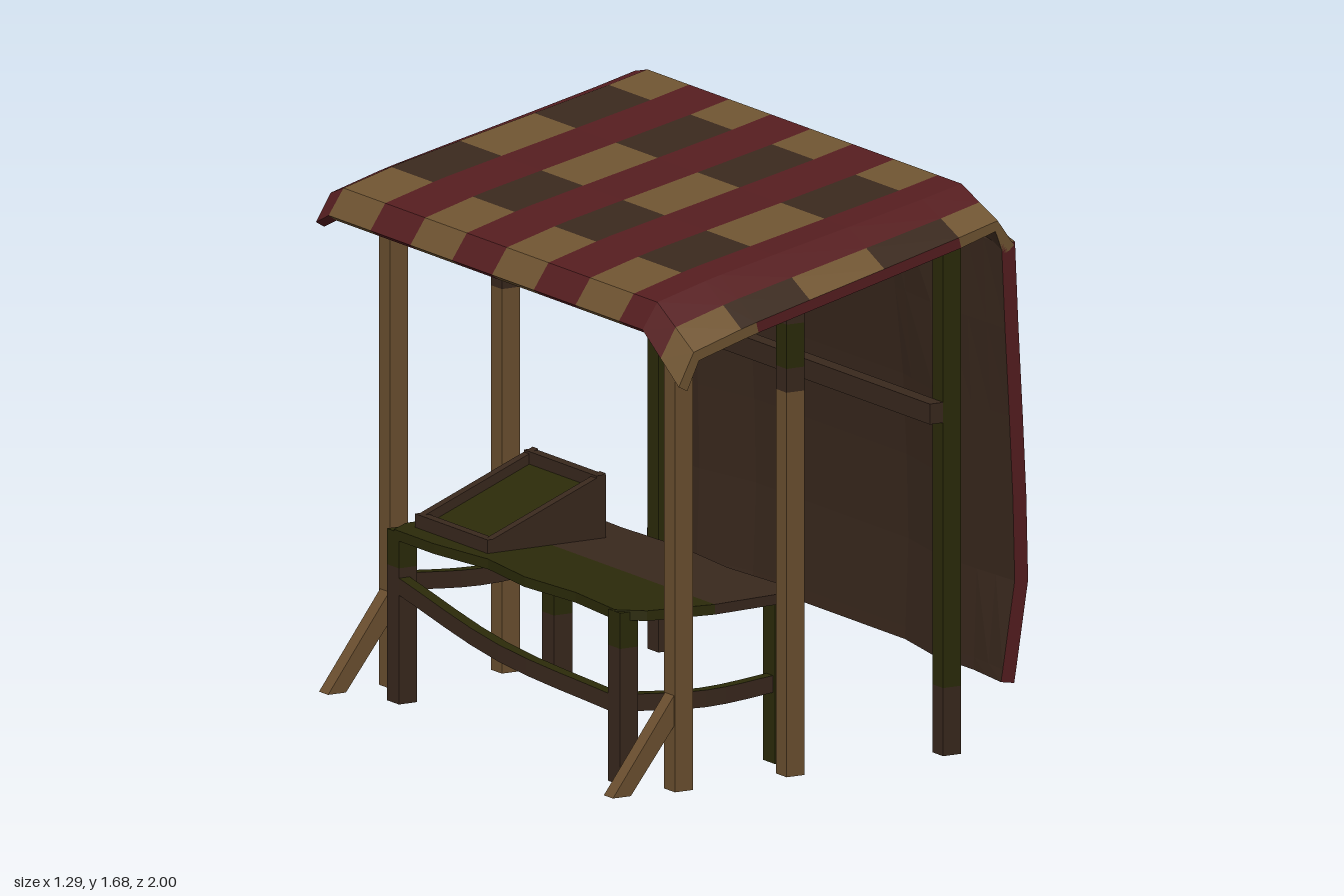
import * as THREE from 'three';

const mat = (name, color) => {
  const m = new THREE.MeshStandardMaterial({ color, flatShading: true });
  m.name = name;
  return m;
};

export function createModel() {
  const root = new THREE.Group();
  root.name = 'marketStall';
  const red = mat('red cloth', 0x541d1f);
  const tan = mat('tan cloth', 0x6e5331);
  const brown = mat('dark brown', 0x39281d);
  const wood = mat('light wood', 0x6b4f2f);
  const green = mat('mossy wood', 0x2b2a09);

  const add = (parent, name, geometry, material) => {
    const m = new THREE.Mesh(geometry, material);
    m.name = name;
    parent.add(m);
    return m;
  };
  const box = (parent, name, material, x0, x1, y0, y1, z0, z1) =>
    add(parent, name, new THREE.BoxGeometry(x1 - x0, y1 - y0, z1 - z0), material)
      .position.set((x0 + x1) / 2, (y0 + y1) / 2, (z0 + z1) / 2);
  // Post stacked from coloured lengths: bands = [top height, material]
  const post = (parent, name, x0, x1, z0, z1, bands) => {
    let y = 0;
    for (const [top, material] of bands) {
      box(parent, name, material, x0, x1, y, top, z0, z1);
      y = top;
    }
  };
  // Box faces in one material, with another on the -z face
  const backed = (m, back) => [m, m, m, m, m, back];
  const group = (name) => {
    const g = new THREE.Group();
    g.name = name;
    root.add(g);
    return g;
  };

  // ---- Cloth: roof and back wall swept along z, checked between red stripes
  const T = tan, D = brown;
  const profile = [ // x, y, colour of the following strip, colour of its front hem
    [-0.56, 1.375, T, T], [-0.51, 1.45, T, T], [-0.35, 1.493, D, T], [-0.3, 1.505, D, red],
    [-0.12, 1.543, T, red], [0.13, 1.595, D, red], [0.38, 1.648, T, T], [0.51, 1.678, T, T],
    [0.565, 1.6, T, red], [0.572, 1.54, D, red], [0.6, 1.29, T, red], [0.627, 1.03, D, red],
    [0.639, 0.79, T, red], [0.645, 0.54, D, red], [0.635, 0.28, T, red], [0.633, 0.243, T, red],
  ];
  const zs = [-1, -0.93, -0.72, -0.7, -0.48, -0.25, -0.03, 0.2, 0.36, 0.43, 0.6, 0.67, 0.8, 0.9, 1];
  const stripes = [[-1, -0.93], [-0.7, -0.48], [-0.25, -0.03], [0.2, 0.43], [0.67, 0.9]];
  const { clamp, lerp } = THREE.MathUtils;
  const insetAt = (z) => {
    const k = z > 0 ? (z - 0.36) / 0.24 : (-0.48 - z) / 0.24;
    return k <= 1 ? lerp(0, 0.043, clamp(k, 0, 1)) : lerp(0.043, 0.033, (Math.abs(z) - 0.6) / 0.4);
  };
  const section = (z) => {
    const droop = z > 0.8 ? (z - 0.8) / 0.2 : z < -0.93 ? 0.25 : 0;
    const outer = profile.map(([x, y], i) => {
      const eave = i === 0 ? 0.02 : 0;
      const drop = i < 8 ? 0.07 + (0.04 * (0.51 - x)) / 1.06 + eave : 0.07 * clamp((y - 1.54) / 0.06, 0, 1);
      const tuck = 0.035 * droop * clamp((0.54 - y) / 0.3, 0, 1);
      const inset = i > 7 ? insetAt(z) * clamp((1.6 - y) / 0.5, 0, 1) + tuck : 0;
      return new THREE.Vector3(x - inset, y - drop * droop, z);
    });
    const inner = outer.map((p, i) => {
      const a = outer[Math.max(i - 1, 0)], b = outer[Math.min(i + 1, outer.length - 1)];
      const n = new THREE.Vector3(a.y - b.y, b.x - a.x, 0).normalize();
      return p.clone().addScaledVector(n, i > 7 ? -0.045 : -0.032);
    });
    return { outer, inner };
  };
  const faces = new Map([[red, []], [tan, []], [brown, []]]);
  const quad = (m, a, b, c, d) => [a, b, c, a, c, d].forEach((p) => faces.get(m).push(p));
  const rows = zs.map(section);
  const last = profile.length - 1;
  for (let j = 0; j < zs.length - 1; j++) {
    const mid = (zs[j] + zs[j + 1]) / 2;
    const isRed = stripes.some(([a, b]) => mid > a && mid < b);
    const { outer: o, inner: n } = rows[j], { outer: O, inner: N } = rows[j + 1];
    const colour = (i) => (isRed ? red : profile[i][2]);
    for (let i = 0; i < last; i++) {
      quad(colour(i), o[i], O[i], O[i + 1], o[i + 1]);
      quad(brown, n[i], n[i + 1], N[i + 1], N[i]);
      if (j === 0) quad(red, o[i], o[i + 1], n[i + 1], n[i]);
      if (j === zs.length - 2) quad(profile[i][3], O[i], N[i], N[i + 1], O[i + 1]);
    }
    quad(colour(0), o[0], n[0], N[0], O[0]);
    quad(colour(last), o[last], O[last], N[last], n[last]);
  }
  const cloth = group('cloth');
  for (const [m, pts] of faces) {
    const g = new THREE.BufferGeometry().setFromPoints(pts);
    g.computeVertexNormals();
    add(cloth, m.name + ' panels', g, m);
  }

  // ---- Posts with diagonal feet at both ends
  for (const z of [0.76, -0.81]) {
    const frame = group('endFrame');
    const [z0, z1] = [z - 0.03, z + 0.03];
    post(frame, 'frontPost', -0.445, -0.385, z0, z1,
      [[0.75, wood], [1.37, z > 0 ? backed(wood, green) : wood]]);
    post(frame, 'middlePost', -0.07, -0.01, z0, z1,
      [[1.13, backed(wood, brown)], [1.2, brown], [1.33, green], [1.49, brown]]);
    post(frame, 'backPost', 0.455, 0.515, z0, z1, [[0.2, brown], [1.6, green]]);
    const brace = new THREE.Shape([[-0.65, 0.005], [-0.59, 0.005], [-0.44, 0.2], [-0.44, 0.29]]
      .map((p) => new THREE.Vector2(...p)));
    add(frame, 'brace', new THREE.ExtrudeGeometry(brace, { depth: 0.05, bevelEnabled: false }), wood)
      .position.z = z - 0.025;
  }
  box(root, 'backRail', brown, 0.41, 0.457, 0.98, 1.04, -0.84, 0.79);

  // ---- Table: uneven plank top, mossy towards the customer side
  const table = group('table');
  const plank = (name, material, pts) => {
    const s = new THREE.Shape(pts.map(([x, z]) => new THREE.Vector2(x, -z)));
    const g = new THREE.ExtrudeGeometry(s, { depth: 0.03, bevelEnabled: false });
    g.rotateX(-Math.PI / 2);
    add(table, name, g, material).position.y = 0.48;
  };
  plank('tableTopFront', green, [[-0.25, 0.69], [-0.46, 0.66], [-0.53, 0.6], [-0.51, 0.35], [-0.53, 0.1],
    [-0.5, -0.15], [-0.53, -0.4], [-0.53, -0.62], [-0.46, -0.67], [-0.25, -0.69]]);
  plank('tableTopBack', brown, [[-0.25, -0.69], [-0.02, -0.68], [0.05, -0.62], [0.04, -0.3], [0.055, 0],
    [0.03, 0.3], [0.05, 0.6], [-0.02, 0.67], [-0.25, 0.69]]);
  for (const z of [0.595, -0.625]) {
    const [z0, z1] = [z - 0.033, z + 0.033];
    post(table, 'frontLeg', -0.53, -0.47, z0, z1, [[0.4, brown], [0.505, green]]);
    post(table, 'backLeg', -0.01, 0.053, z0, z1, [[0.2, z > 0 ? green : brown], [0.505, green]]);
  }

  // Bowed square rails between the legs, bare wood on the outer side
  const rail = (name, ...pts) => {
    const curve = new THREE.CatmullRomCurve3(pts.map((p) => new THREE.Vector3(...p)));
    const N = 8, h = 0.025, pos = [], idx = [];
    for (let i = 0; i <= N; i++) {
      const p = curve.getPoint(i / N), t = curve.getTangent(i / N);
      const side = new THREE.Vector3(-t.z, 0, t.x).normalize().multiplyScalar(0.018);
      for (const [s, u] of [[-1, -1], [1, -1], [1, 1], [-1, 1]])
        pos.push(p.x + s * side.x, p.y + u * h, p.z + s * side.z);
    }
    const g = new THREE.BufferGeometry();
    for (let k = 0; k < 4; k++) {
      g.addGroup(k * N * 6, N * 6, k);
      for (let i = 0; i < N; i++) {
        const q = i * 4 + k, r = i * 4 + ((k + 1) % 4);
        idx.push(q, r + 4, r, q, q + 4, r + 4);
      }
    }
    g.setAttribute('position', new THREE.Float32BufferAttribute(pos, 3));
    g.setIndex(idx);
    g.computeVertexNormals();
    add(table, name, g, [green, brown, green, green]);
  };
  rail('endRailHigh', [-0.5, 0.355, -0.625], [-0.24, 0.335, -0.64], [0.02, 0.355, -0.625]);
  rail('endRailLow', [-0.5, 0.235, 0.595], [-0.24, 0.22, 0.61], [0.02, 0.235, 0.595]);
  rail('frontRail', [-0.51, 0.35, -0.62], [-0.54, 0.27, 0], [-0.51, 0.23, 0.595]);

  // ---- Sloping display tray with a raised rim
  const tray = group('displayTray');
  const wedge = (name, material, lift, z0, z1) => {
    const s = new THREE.Shape([[-0.46, 0.51], [-0.07, 0.51], [-0.07, 0.66 + lift], [-0.46, 0.505 + lift]]
      .map((p) => new THREE.Vector2(...p)));
    add(tray, name, new THREE.ExtrudeGeometry(s, { depth: z1 - z0, bevelEnabled: false }), material)
      .position.z = z0;
  };
  wedge('trayBed', green, 0.01, -0.58, -0.24);
  wedge('traySide', brown, 0.04, -0.61, -0.58);
  wedge('traySide', brown, 0.04, -0.24, -0.21);
  box(tray, 'trayLip', brown, -0.465, -0.435, 0.505, 0.55, -0.61, -0.21);
  box(tray, 'trayBack', brown, -0.1, -0.068, 0.51, 0.695, -0.61, -0.21);
  return root;
}
